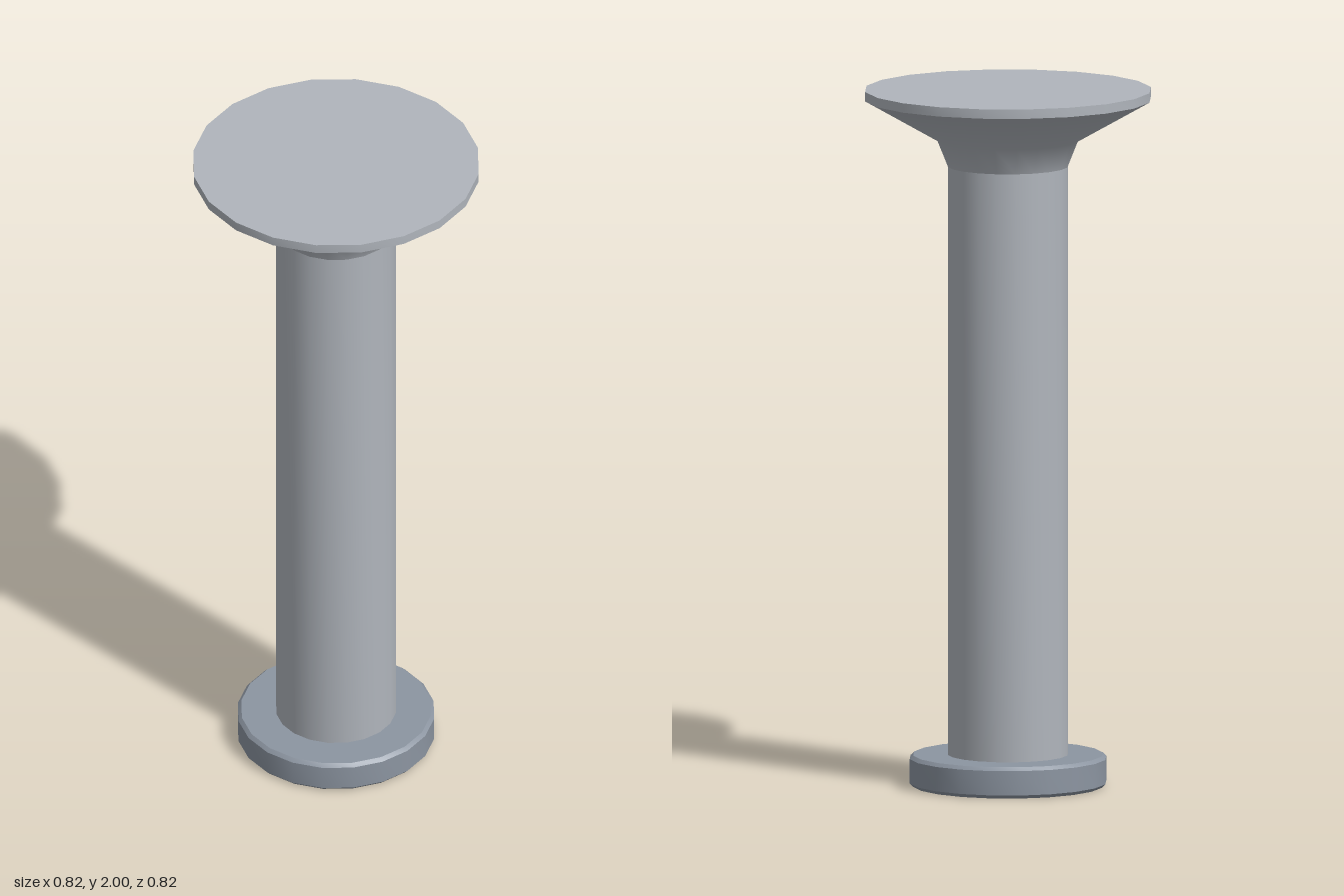
import * as THREE from 'three';
import { toCreasedNormals } from 'three/addons/utils/BufferGeometryUtils.js';

const SIDES = 20;

// Revolve a [radius, y] profile, listed from bottom to top
function turned(name, profile, material, crease) {
  const points = profile.map(([r, y]) => new THREE.Vector2(r, y));
  const geometry = toCreasedNormals(new THREE.LatheGeometry(points, SIDES), crease);
  const mesh = new THREE.Mesh(geometry, material);
  mesh.name = name;
  return mesh;
}

export function createModel() {
  const steel = new THREE.MeshStandardMaterial({ name: 'light steel', color: 0xb0b5bc });
  const darkSteel = new THREE.MeshStandardMaterial({ name: 'blue grey steel', color: 0x8c95a1 });

  const model = new THREE.Group();
  model.name = 'flaredPost';

  // Round foot with small bevels on both rims
  model.add(turned('foot', [
    [0, 0], [0.272, 0], [0.282, 0.01], [0.282, 0.08], [0.272, 0.09], [0, 0.09],
  ], darkSteel, 0.6));

  // Plain straight shaft
  model.add(turned('shaft', [[0.172, 0.09], [0.172, 1.78]], steel, 0.6));

  // Flared head: short neck, wide cone, thin rim and flat top
  model.add(turned('head', [
    [0.172, 1.78], [0.202, 1.855], [0.41, 1.973], [0.41, 2], [0, 2],
  ], steel, 0.75));

  return model;
}
